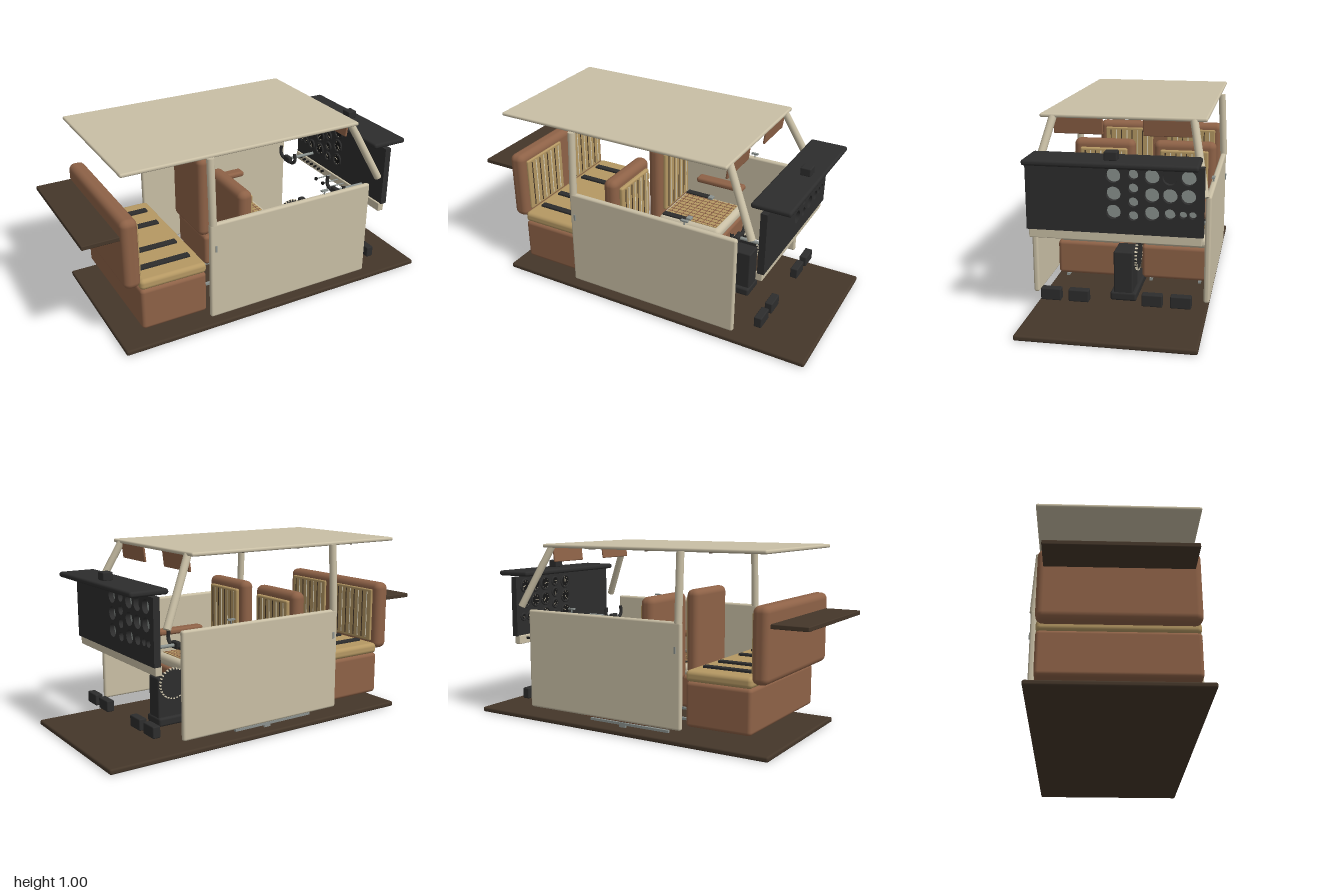
import * as THREE from 'three';
import { RoundedBoxGeometry } from 'three/addons/geometries/RoundedBoxGeometry.js';

const paint = (name, color) => {
  const m = new THREE.MeshStandardMaterial({ color });
  m.name = name;
  return m;
};

export function createModel() {
  const root = new THREE.Group();
  root.name = 'aircraftCabin';
  const beige = paint('beige trim', 0xc9bfa5), brown = paint('brown leather', 0x8e6247);
  const tan = paint('tan fabric', 0xb59863), carpet = paint('dark brown carpet', 0x45372a);
  const dark = paint('charcoal', 0x2d2d2d), metal = paint('grey metal', 0x8a918e);
  const black = paint('black', 0x161616), cream = paint('cream', 0xddd3b8);

  const add = (name, geo, mat, parent = root) => {
    const m = new THREE.Mesh(geo, mat);
    m.name = name;
    parent.add(m);
    return m;
  };
  // box given by its extents, rounded when r > 0
  const box = (name, mat, [x0, x1], [y0, y1], [z0, z1], r = 0, parent = root) => {
    const s = [x1 - x0, y1 - y0, z1 - z0];
    const g = r ? new RoundedBoxGeometry(...s, 3, r) : new THREE.BoxGeometry(...s);
    g.translate((x0 + x1) / 2, (y0 + y1) / 2, (z0 + z1) / 2);
    return add(name, g, mat, parent);
  };
  // round bar between two points
  const bar = (name, mat, a, b, r, parent = root) => {
    const p = new THREE.Vector3(...a), q = new THREE.Vector3(...b);
    const m = add(name, new THREE.CylinderGeometry(r, r, p.distanceTo(q), 16), mat, parent);
    m.position.copy(p).lerp(q, 0.5);
    m.quaternion.setFromUnitVectors(new THREE.Vector3(0, 1, 0), q.sub(p).normalize());
    return m;
  };
  const span = (c, h) => [c - h, c + h];

  // floor, parcel shelf and roof
  box('floor', carpet, [-0.84, 1], [0.002, 0.03], [-0.435, 0.435], 0.01);
  box('parcelShelf', carpet, [-1, -0.8], [0.63, 0.653], [-0.365, 0.365], 0.004);
  box('roof', beige, [-0.805, 0.53], [0.98, 1], [-0.415, 0.415], 0.009);
  for (const x of [-0.5, -0.13, 0.22]) box('roofSeam', carpet, span(x, 0.004), [0.976, 0.981], [-0.4, 0.4]);
  box('domeLight', cream, [-0.2, -0.145], [0.963, 0.972], [-0.04, 0.04], 0.004);
  box('domeLightBase', metal, [-0.19, -0.155], [0.971, 0.981], [-0.03, 0.03]);

  // doors, pillars, armrests and visors on both sides
  for (const s of [-1, 1]) {
    const side = (a, b) => (s > 0 ? [a, b] : [-b, -a]);
    box('door', beige, [-0.368, 0.61], [0.088, 0.638], side(0.42, 0.45), 0.012);
    box('armrest', brown, [-0.02, 0.28], [0.42, 0.455], side(0.355, 0.422), 0.015);
    box('doorLatch', metal, [0.3, 0.34], [0.655, 0.663], side(0.425, 0.44));
    bar('latchStem', metal, [0.32, 0.63, s * 0.433], [0.32, 0.658, s * 0.433], 0.004);
    box('doorHandle', metal, [-0.342, -0.333], [0.48, 0.515], side(0.448, 0.456));
    bar('doorPillar', beige, [-0.348, 0.985, s * 0.418], [-0.348, 0.63, s * 0.437], 0.02);
    bar('windscreenPillar', beige, [0.515, 0.985, s * 0.35], [0.68, 0.65, s * 0.425], 0.02);
    const visor = box('sunVisor', brown, [-0.006, 0.006], [-0.085, 0], side(0.1, 0.35), 0.005);
    visor.position.set(0.51, 0.983, 0);
    visor.rotation.z = -0.12;
  }

  // pleats on an upright panel facing +x
  const pleats = (x, [y0, y1], [z0, z1], n, parent) => {
    for (let i = 1; i < n; i++) {
      const z = z0 + ((z1 - z0) * i) / n;
      box('pleat', i % 2 ? cream : carpet, [x, x + 0.003], [y0 + 0.015, y1 - 0.015], span(z, 0.003), 0, parent);
    }
  };

  // rear bench
  const bench = new THREE.Group();
  bench.name = 'rearBench';
  root.add(bench);
  box('benchBase', brown, [-0.73, -0.365], [0.1, 0.335], [-0.395, 0.395], 0.02, bench);
  box('benchCushion', tan, [-0.73, -0.362], [0.333, 0.392], [-0.395, 0.395], 0.022, bench);
  box('benchBack', brown, [-0.81, -0.72], [0.355, 0.738], [-0.395, 0.395], 0.035, bench);
  for (const s of [-1, 1]) {
    const z = [s * 0.2 - 0.155, s * 0.2 + 0.155];
    box('benchBackPanel', tan, [-0.725, -0.708], [0.4, 0.7], z, 0.007, bench);
    pleats(-0.709, [0.4, 0.7], z, 9, bench);
    for (const d of [-0.08, 0.08])
      box('rearBelt', dark, [-0.69, -0.41], [0.39, 0.404], span(s * 0.2 + d, 0.018), 0.003, bench);
  }

  // two front seats
  for (const s of [-1, 1]) {
    const seat = new THREE.Group();
    seat.name = 'frontSeat';
    seat.position.z = s * 0.232;
    root.add(seat);
    box('seatBase', brown, [-0.15, 0.28], [0.068, 0.255], [-0.178, 0.178], 0.02, seat);
    box('seatCushion', beige, [-0.12, 0.28], [0.25, 0.318], [-0.175, 0.175], 0.03, seat);
    box('seatTop', tan, [-0.09, 0.25], [0.314, 0.321], [-0.145, 0.145], 0, seat);
    for (let i = 0; i < 9; i++) {
      box('seatSeam', brown, [-0.09, 0.25], [0.32, 0.323], span(-0.128 + i * 0.032, 0.002), 0, seat);
      box('seatSeam', brown, span(-0.07 + i * 0.0375, 0.002), [0.32, 0.323], [-0.145, 0.145], 0, seat);
    }
    box('seatBack', brown, [-0.18, -0.1], [0.26, 0.745], [-0.178, 0.178], 0.035, seat);
    box('seatBackPanel', tan, [-0.105, -0.08], [0.34, 0.7], [-0.137, 0.137], 0.01, seat);
    pleats(-0.081, [0.34, 0.7], [-0.137, 0.137], 9, seat);
    for (const d of [-1, 1]) {
      box('seatRail', metal, [-0.25, 0.25], [0.044, 0.057], span(d * 0.133, 0.008), 0, seat);
      box('railSupport', metal, [0.02, 0.06], [0.028, 0.075], span(d * 0.133, 0.005), 0, seat);
      box('seatBelt', dark, [-0.09, 0.06], [0.322, 0.333], span(d * 0.15, 0.018), 0.003, seat);
      box('beltBuckle', metal, [0.06, 0.09], [0.325, 0.34], span(d * 0.14, 0.017), 0.003, seat);
    }
    // rudder pedals
    for (const z of [0.09, -0.05])
      box('rudderPedal', dark, [0.695, 0.737], [0.105, 0.166], span(s * (z + 0.02 - 0.0) + (s * 0.0), 0.051), 0.006, seat)
        .position.z = s * -0.02;
  }

  // centre pedestal and trim wheel
  box('pedestal', dark, [0.38, 0.525], [0.04, 0.3], [-0.05, 0.05], 0.008);
  box('pedestalBase', dark, [0.16, 0.53], [0.035, 0.082], [-0.068, 0.068], 0.012);
  const wheel = add('trimWheel', new THREE.CylinderGeometry(0.082, 0.082, 0.012, 32).rotateX(Math.PI / 2), dark);
  wheel.position.set(0.44, 0.265, -0.065);
  for (let i = 0; i < 28; i++) {
    const rib = add('trimRib', new THREE.BoxGeometry(0.008, 0.008, 0.013), cream, wheel);
    const a = (i / 28) * Math.PI * 2;
    rib.position.set(Math.cos(a) * 0.081, Math.sin(a) * 0.081, 0);
    rib.rotation.z = a;
  }

  // instrument panel with openings: [z, y, radius]
  const gauges = [];
  for (const y of [0.758, 0.67, 0.582]) gauges.push([0, y, 0.035], [-0.183, y, 0.035]);
  for (const y of [0.766, 0.7, 0.633, 0.566]) gauges.push([-0.095, y, 0.024]);
  gauges.push([-0.268, 0.758, 0.035], [-0.268, 0.67, 0.035], [-0.268, 0.582, 0.026]);
  gauges.push([-0.354, 0.758, 0.035], [-0.354, 0.67, 0.035], [-0.33, 0.582, 0.018], [-0.375, 0.582, 0.018]);
  const face = new THREE.Shape([[-0.427, 0.475], [0.427, 0.475], [0.427, 0.81], [-0.427, 0.81]]
    .map((p) => new THREE.Vector2(...p)));
  for (const [z, y, r] of gauges) face.holes.push(new THREE.Path().absarc(z, y, r, 0, Math.PI * 2, true));
  const panel = new THREE.ExtrudeGeometry(face, { depth: 0.035, bevelEnabled: false, curveSegments: 24 });
  add('instrumentPanel', panel.rotateY(-Math.PI / 2), dark).position.x = 0.752;
  gauges.forEach(([z, y, r], i) => {
    const g = new THREE.Group();
    g.name = 'gauge';
    g.position.set(0.717, y, z);
    root.add(g);
    const disc = (name, mat, x) =>
      add(name, new THREE.CylinderGeometry(r, r, 0.004, 28).rotateZ(Math.PI / 2), mat, g).position.x = x;
    disc('gaugeBack', i === 10 ? dark : metal, 0.006);
    disc('gaugeFace', black, 0.001);
    add('gaugeBezel', new THREE.TorusGeometry(r, 0.006, 8, 28).rotateY(Math.PI / 2), dark, g).position.x = -0.003;
    for (let k = 0; k < 8; k++) {
      const a = (k / 8) * Math.PI * 2;
      const t = add('gaugeTick', new THREE.BoxGeometry(0.002, r * 0.18, 0.002), cream, g);
      t.position.set(-0.002, Math.cos(a) * r * 0.78, Math.sin(a) * r * 0.78);
      t.rotation.x = a;
    }
    const needle = add('gaugeNeedle', new THREE.BoxGeometry(0.002, r * 0.65, 0.003).translate(0, r * 0.25, 0), cream, g);
    needle.position.x = -0.003;
    needle.rotation.x = i * 1.3;
  });
  box('lowerPanel', beige, [0.706, 0.742], [0.43, 0.478], [-0.42, 0.42], 0.004);
  box('glareShield', dark, [0.655, 0.86], [0.814, 0.842], [-0.41, 0.41], 0.012);
  box('compass', dark, [0.755, 0.81], [0.84, 0.884], [-0.031, 0.031], 0.006);

  // control yokes
  for (const z of [-0.255, 0.245]) {
    bar('yokeShaft', metal, [0.53, 0.525, z], [0.715, 0.525, z], 0.009);
    box('yokeHub', dark, [0.518, 0.545], [0.505, 0.545], span(z, 0.03), 0.008);
    const path = new THREE.CatmullRomCurve3([[0.59, -0.075], [0.54, -0.078], [0.518, -0.05], [0.52, 0],
      [0.518, 0.05], [0.54, 0.078], [0.59, 0.075]].map(([y, d]) => new THREE.Vector3(0.53, y, z + d)));
    add('yokeGrip', new THREE.TubeGeometry(path, 32, 0.01, 10), dark);
  }

  // push rods and switches along the lower panel
  for (const z of [-0.04, 0.03, 0.09]) {
    bar('pushRod', metal, [0.6, 0.465, z], [0.71, 0.465, z], 0.004);
    add('pushKnob', new THREE.SphereGeometry(0.011, 14, 10), black).position.set(0.598, 0.465, z);
  }
  for (let i = 0; i < 7; i++) bar('switch', black, [0.69, 0.46, -0.36 + i * 0.04], [0.71, 0.46, -0.36 + i * 0.04], 0.007);

  return root;
}
